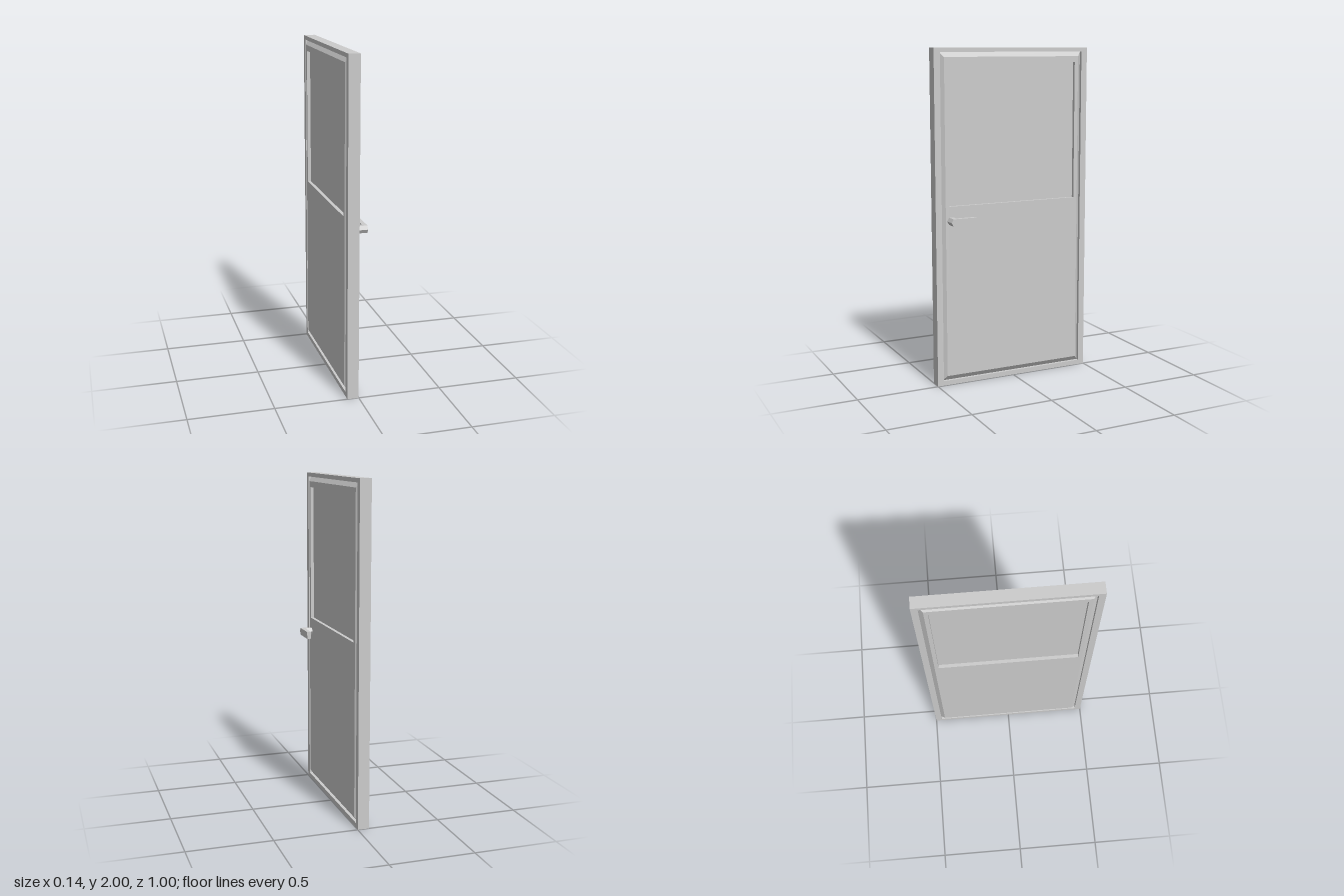
import * as THREE from 'three';

const material = new THREE.MeshStandardMaterial({ color: 0xcccccc, flatShading: true });

// Rectangle in the y-z plane at depth x, corners counter-clockwise seen from +x
const ring = (x, halfZ, y0, y1) => [
  [x, y0, -halfZ], [x, y1, -halfZ], [x, y1, halfZ], [x, y0, halfZ],
];

// Join successive rectangular rings with flat quads; optionally close the last one
function loftRings(rings, capped = false) {
  const pos = [];
  const quad = (a, b, c, d) => pos.push(...a, ...b, ...c, ...a, ...c, ...d);
  for (let r = 0; r < rings.length - 1; r++) {
    const a = rings[r], b = rings[r + 1];
    for (let i = 0; i < 4; i++) {
      const j = (i + 1) % 4;
      quad(a[i], a[j], b[j], b[i]);
    }
  }
  if (capped) quad(...rings[rings.length - 1]);
  const geometry = new THREE.BufferGeometry();
  geometry.setAttribute('position', new THREE.Float32BufferAttribute(pos, 3));
  geometry.computeVertexNormals();
  return geometry;
}

function addMesh(parent, name, geometry) {
  const mesh = new THREE.Mesh(geometry, material);
  mesh.name = name;
  parent.add(mesh);
  return mesh;
}

export function createModel() {
  const door = new THREE.Group();
  door.name = 'door';

  const midX = -0.035;      // centre plane of the door
  const frameFace = 0.034;  // half thickness of the frame
  const leafFace = 0.036;   // the leaf stands slightly proud
  const grooveX = 0.015;    // bottom of the groove around the leaf
  const paneX = 0.016;      // recessed upper panel

  const opening = (x) => ring(x, 0.462, 0.028, 1.976);
  const windowEdge = (x) => ring(x, 0.415, 1.085, 1.912);

  // Frame, bevelled leaf and recessed panel, the same on both sides
  const frame = loftRings([
    ring(0, 0.5, 0, 2), ring(frameFace, 0.5, 0, 2), opening(frameFace), opening(grooveX),
  ]);
  const leaf = loftRings([
    opening(grooveX), ring(leafFace, 0.438, 0.057, 1.948),
    windowEdge(leafFace), windowEdge(paneX),
  ]);
  const pane = loftRings([windowEdge(paneX)], true);

  for (const [side, angle] of [['outer', 0], ['inner', Math.PI]]) {
    const half = new THREE.Group();
    half.name = side + 'Side';
    half.position.x = midX;
    half.rotation.y = angle;
    addMesh(half, 'frame', frame);
    addMesh(half, 'leaf', leaf);
    addMesh(half, 'upperPanel', pane);
    door.add(half);
  }

  // Handle: hexagonal stem with a flat lever
  const handle = new THREE.Group();
  handle.name = 'handle';
  const radius = 0.025, stemZ = 0.405, reach = 0.07;
  const stemGeometry = new THREE.CylinderGeometry(radius, radius, reach, 6);
  stemGeometry.rotateZ(-Math.PI / 2);
  // corners point along z
  const stem = addMesh(handle, 'handleStem', stemGeometry);
  stem.position.set(reach / 2, 1, stemZ);

  const leverStart = stemZ - radius / 2, leverEnd = 0.268;
  const lever = addMesh(handle, 'handleLever',
    new THREE.BoxGeometry(0.025, radius * Math.sqrt(3), leverStart - leverEnd));
  lever.position.set(reach - 0.0125, 1, (leverStart + leverEnd) / 2);
  door.add(handle);

  return door;
}
